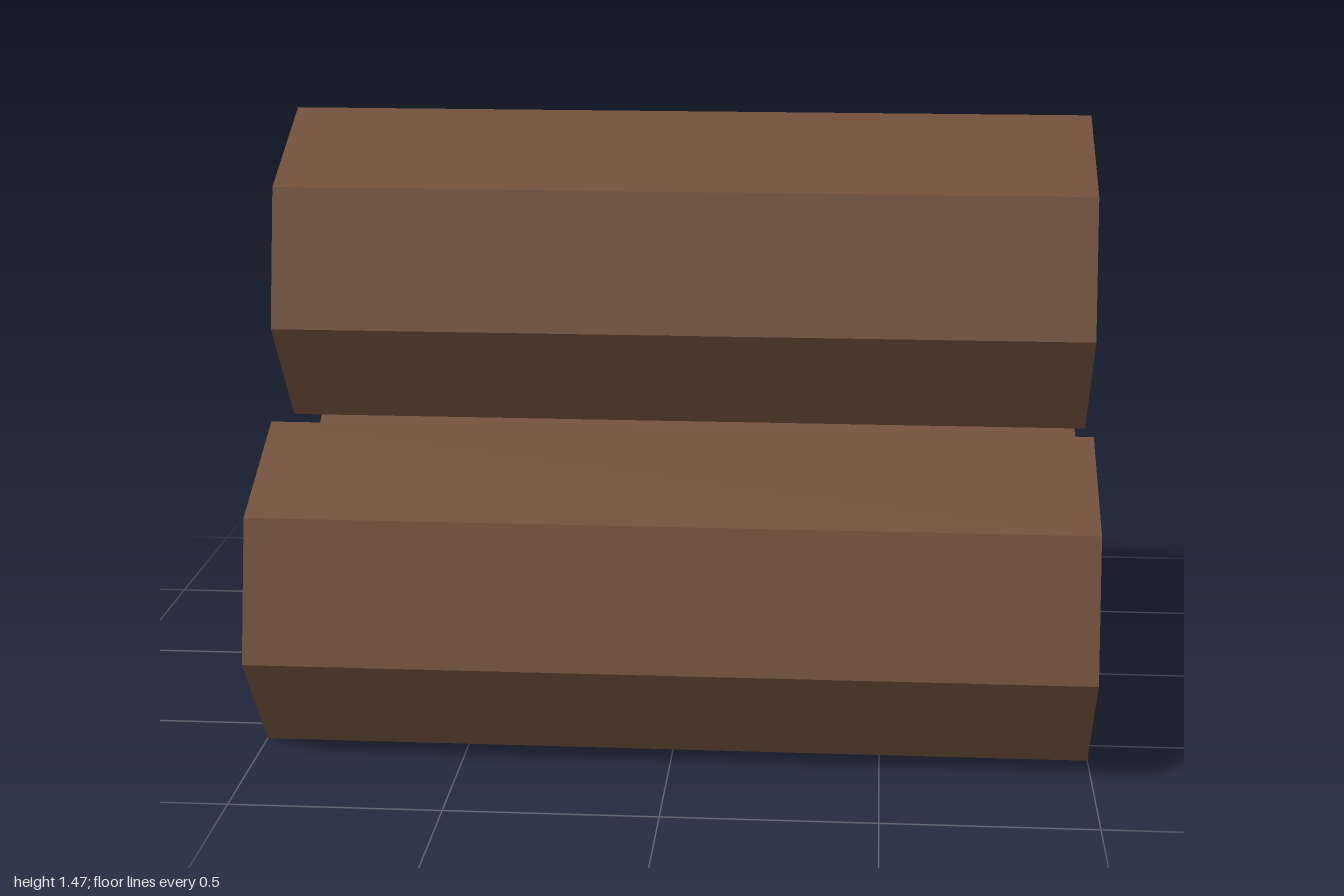
import * as THREE from 'three';

const RADIUS = 0.4;
const LENGTH = 2;

export function createModel() {
  const bark = new THREE.MeshStandardMaterial({ color: 0x6f4e3a, flatShading: true });
  bark.name = 'bark brown';
  const cutWood = new THREE.MeshStandardMaterial({ color: 0xb39565, flatShading: true });
  cutWood.name = 'cut wood tan';

  // Seven-sided log lying along x, one corner pointing straight up
  const logGeometry = new THREE.CylinderGeometry(RADIUS, RADIUS, LENGTH, 7, 1, false, Math.PI / 2);
  logGeometry.rotateZ(Math.PI / 2);

  const group = new THREE.Group();
  group.name = 'logPile';
  const restHeight = RADIUS * Math.cos(Math.PI / 7);

  // Two logs on the ground and one stacked on top
  const logs = [
    ['frontLog', restHeight, 0.423],
    ['backLog', restHeight, -0.423],
    ['topLog', 1.074, 0],
  ];
  for (const [name, y, z] of logs) {
    const log = new THREE.Mesh(logGeometry, [bark, cutWood, cutWood]);
    log.name = name;
    log.position.set(0, y, z);
    group.add(log);
  }
  return group;
}
